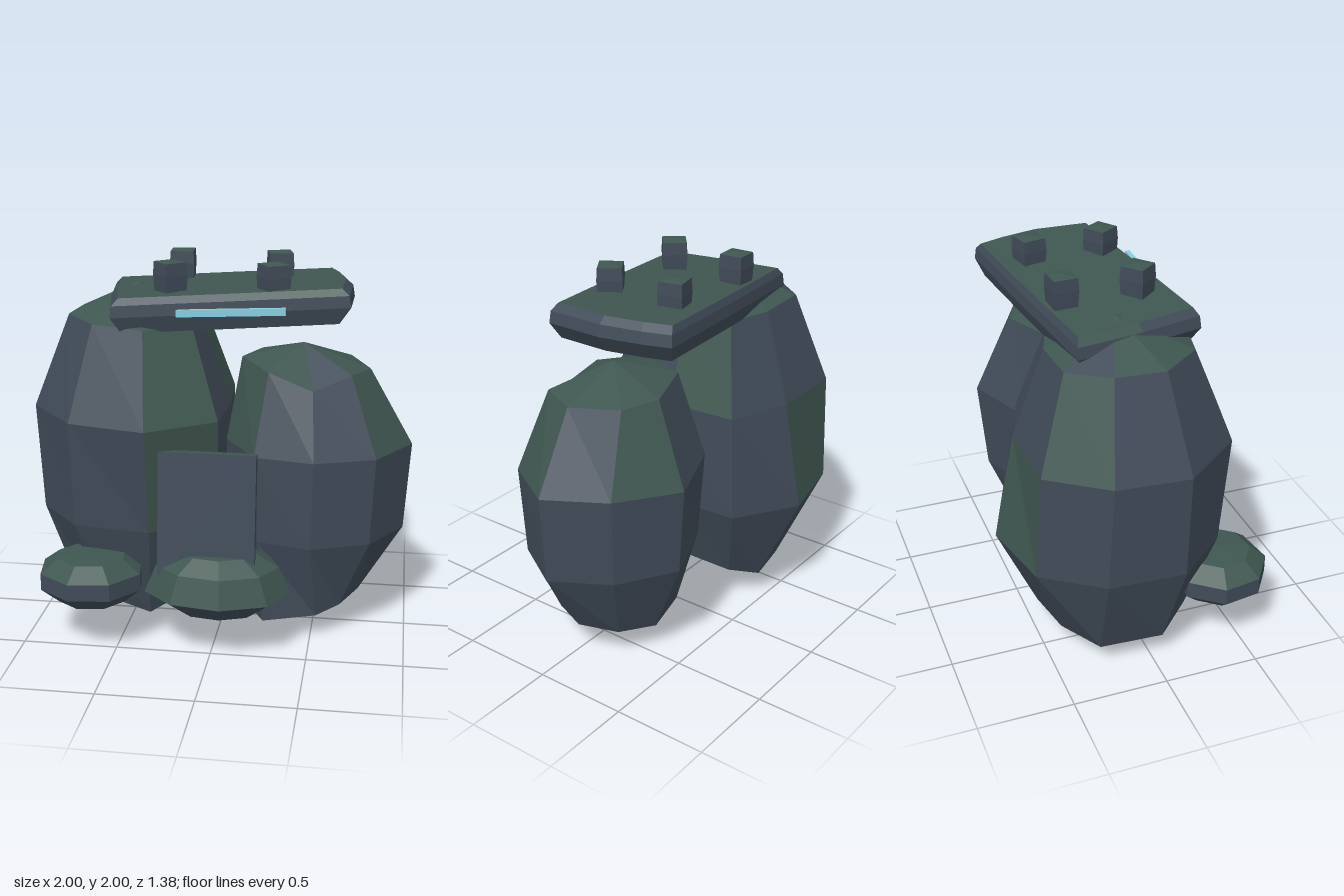
import * as THREE from 'three';

const mat = (name, color) => {
  const m = new THREE.MeshStandardMaterial({ color });
  m.name = name;
  return m;
};

// Faceted stone: rings of [x, y, z] from bottom to top, closed by two apex points.
// moss(band, side) picks the mossy facets; band 0 is the bottom fan.
function stone(name, rings, bottom, top, moss, materials) {
  const tris = [[], []];
  const n = rings[0].length, last = rings.length;
  const add = (band, i, ...pts) => tris[moss(band, i) ? 1 : 0].push(...pts.flat());
  for (let i = 0; i < n; i++) {
    const j = (i + 1) % n;
    add(0, i, rings[0][j], bottom, rings[0][i]);
    for (let r = 1; r < last; r++) {
      const a = rings[r - 1], b = rings[r];
      add(r, i, a[i], b[i], b[j], a[i], b[j], a[j]);
    }
    add(last, i, rings[last - 1][i], top, rings[last - 1][j]);
  }
  const g = new THREE.BufferGeometry();
  g.setAttribute('position', new THREE.Float32BufferAttribute(tris.flat(), 3));
  g.addGroup(0, tris[0].length / 3, 0);
  g.addGroup(tris[0].length / 3, tris[1].length / 3, 1);
  g.computeVertexNormals();
  const mesh = new THREE.Mesh(g, materials);
  mesh.name = name;
  return mesh;
}

// Outline [x, z] scaled about a centre and lifted to height y, with a slope along x
const ring = (outline, y, s = 1, cx = 0, cz = 0, slope = 0) =>
  outline.map(([x, z]) => {
    const px = cx + (x - cx) * s;
    return [px, y + slope * px, cz + (z - cz) * s];
  });

const oval = (cx, cz, rx, rz, n, turn = 0) =>
  Array.from({ length: n }, (_, i) => {
    const a = turn + (i / n) * Math.PI * 2;
    return [cx + rx * Math.cos(a), cz + rz * Math.sin(a)];
  });

const inList = (...keys) => (b, i) => keys.includes(`${b}:${i}`);

export function createModel() {
  const group = new THREE.Group();
  const slate = mat('slate', 0x404b58);
  const moss = mat('moss', 0x3f5650);
  const glow = mat('paleCyan', 0x86cddd);
  const mats = [slate, moss];

  // Tall boulder on the model's right
  const tallMid = [[0.03, -0.08], [0.01, 0.28], [-0.33, 0.52], [-0.74, 0.42], [-1, 0.1],
    [-0.97, -0.28], [-0.76, -0.57], [-0.33, -0.58], [0, -0.46]];
  const tallLow = [[0.02, -0.12], [0, 0.2], [-0.33, 0.43], [-0.74, 0.37], [-0.97, 0.1],
    [-0.95, -0.3], [-0.74, -0.6], [-0.33, -0.69], [0, -0.48]];
  const tallBase = [[-0.12, 0.22, -0.12], [-0.14, 0.2, 0.12], [-0.36, 0.11, 0.28],
    [-0.64, 0.18, 0.24], [-0.81, 0.14, 0.05], [-0.78, 0.13, -0.28], [-0.56, 0.14, -0.42],
    [-0.3, 0.14, -0.47], [-0.16, 0.19, -0.36]];
  const tallMoss = inList('3:1', '2:1', '3:5', '2:6', '3:8');
  group.add(stone('tallBoulder', [
    tallBase,
    ring(tallLow, 0.63),
    ring(tallMid, 1.2),
    ring(tallMid, 1.655, 0.67, -0.44, -0.1, -0.04),
  ], [-0.44, 0, -0.08], [-0.47, 1.845, -0.1], (b, i) => tallMoss(b, i) || (b === 4 && i !== 5), mats));

  // Shorter boulder on the model's left
  const shortMid = [[1, -0.03], [0.82, 0.27], [0.51, 0.38], [0.2, 0.32],
    [0.02, 0.02], [0.12, -0.38], [0.52, -0.54], [0.82, -0.33]];
  const shortLow = [[0.97, -0.03], [0.8, 0.25], [0.5, 0.37], [0.22, 0.3],
    [0.03, 0], [0.13, -0.35], [0.5, -0.5], [0.8, -0.32]];
  const shortBase = [[0.74, 0.18, -0.03], [0.65, 0.17, 0.17], [0.53, 0.14, 0.26], [0.25, 0.1, 0.28],
    [0.1, 0.1, 0], [0.18, 0.14, -0.25], [0.47, 0.15, -0.33], [0.66, 0.17, -0.23]];
  const shortTop = [[0.77, 1.43, -0.03], [0.68, 1.44, 0.17], [0.49, 1.37, 0.25], [0.26, 1.45, 0.21],
    [0.1, 1.48, 0], [0.18, 1.47, -0.25], [0.47, 1.45, -0.35], [0.66, 1.44, -0.27]];
  const shortMoss = inList('3:0', '3:3', '3:4', '3:6');
  group.add(stone('shortBoulder', [
    shortBase,
    ring(shortLow, 0.56),
    ring(shortMid, 1.03),
    shortTop,
  ], [0.42, 0.02, -0.03], [0.42, 1.56, -0.03], (b, i) => shortMoss(b, i) || (b === 4 && i !== 1), mats));

  // Two flat stones at the front
  const smallRim = oval(-0.64, 0.42, 0.28, 0.26, 8, 0.25);
  group.add(stone('smallFootStone', [
    ring(smallRim, 0.25, 0.66, -0.64, 0.42),
    ring(smallRim, 0.33),
    ring(smallRim, 0.42),
    ring(smallRim, 0.49, 0.66, -0.64, 0.42),
  ], [-0.64, 0.23, 0.42], [-0.64, 0.5, 0.42], (b) => b >= 3, mats));

  const largeRim = oval(0.025, 0.42, 0.385, 0.27, 9, 0.05);
  group.add(stone('largeFootStone', [
    ring(largeRim, 0.23, 0.58, 0.03, 0.42),
    ring(largeRim, 0.335),
    ring(largeRim, 0.48, 0.84, 0.03, 0.42),
    ring(largeRim, 0.55, 0.52, 0.03, 0.42),
  ], [0.05, 0.2, 0.42], [0.05, 0.56, 0.42], (b) => b >= 2, mats));

  // Thin upright panel with a mossy top, leaning back on the large foot stone
  const panel = new THREE.Mesh(new THREE.BoxGeometry(0.5, 0.7, 0.057),
    [slate, slate, moss, slate, slate, slate]);
  panel.name = 'leaningPanel';
  panel.position.set(-0.02, 0.735, 0.468);
  panel.rotation.x = -0.1;
  group.add(panel);

  // Tilted capstone slab with bevelled rim
  const rim = [[0.67, -0.15], [0.665, 0.16], [0.05, 0.25], [-0.53, 0.325],
    [-0.6, 0], [-0.65, -0.34], [0, -0.43], [0.57, -0.5], [0.62, -0.36]];
  const slope = 0.045;
  const slabMoss = inList('3:1', '3:4');
  group.add(stone('capSlab', [
    ring(rim, 1.67, 0.91, 0.02, -0.08, slope),
    ring(rim, 1.755, 1, 0, 0, slope),
    ring(rim, 1.815, 0.985, 0, -0.08, slope),
    ring(rim, 1.85, 0.93, 0, -0.12, slope),
  ], [0.02, 1.67, -0.08], [0, 1.85, -0.12], (b, i) => b === 4 || slabMoss(b, i), mats));

  // Four short posts on the slab
  [[-0.26, -0.29, 0.72], [0.265, -0.29, 0.55], [-0.26, 0.1, 0.1], [0.27, 0.1, 0.2]].forEach(([x, z, turn], k) => {
    const square = oval(x, z, 0.092, 0.092, 4, turn);
    group.add(stone(`post${k + 1}`, [
      ring(square, 1.8, 0.9, x, z),
      ring(square, 1.92),
      ring(square, 1.985, 0.94, x, z),
    ], [x, 1.79, z], [x, 1.995, z], (b) => b === 3, mats));
  });

  // Glowing inlay emerging from the slab's front edge
  const inlay = new THREE.Mesh(new THREE.BoxGeometry(0.55, 0.036, 0.024), glow);
  inlay.name = 'glowingInlay';
  inlay.position.set(0.075, 1.77, 0.281);
  inlay.rotation.z = 0.045;
  group.add(inlay);

  return group;
}
